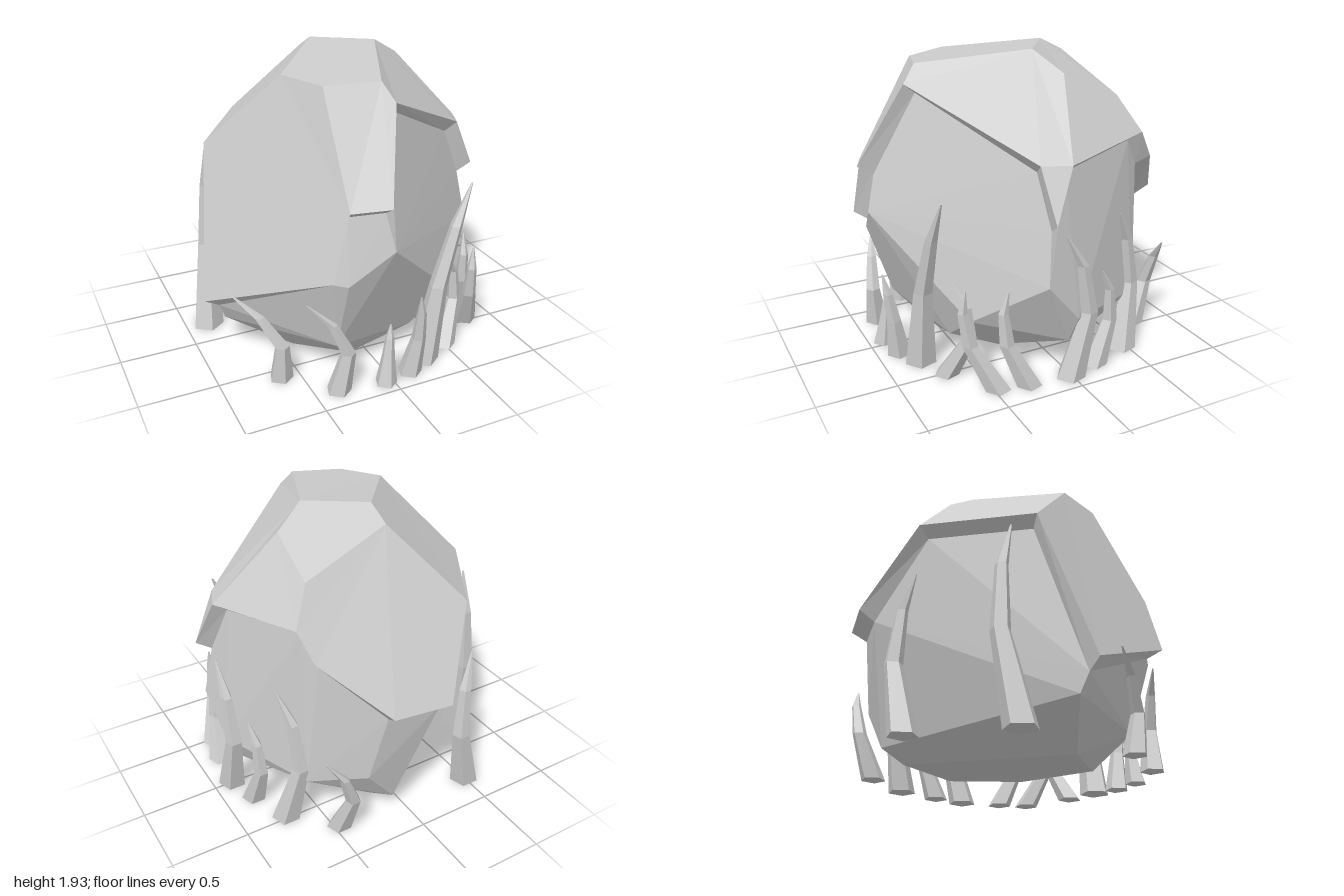
import * as THREE from 'three';
import { ConvexGeometry } from 'three/addons/geometries/ConvexGeometry.js';

const material = new THREE.MeshStandardMaterial({ color: 0xcccccc, flatShading: true, side: THREE.DoubleSide });

// Corners of the cap
const corners = {
  topLeft: [-0.455, 1.85, 0.27], topBack: [-0.045, 1.93, -0.25], topRight: [0.3, 1.93, -0.01],
  topFront: [0.01, 1.85, 0.64], topFrontL: [-0.315, 1.835, 0.55], backUp: [-0.045, 1.85, -0.41],
  rightUp: [0.51, 1.81, -0.11], rightBack: [0.53, 1.65, -0.475],
};
// Its rim, in order around the rock
const rimCorners = {
  sideL: [-0.835, 1.37, -0.1], tipL: [-0.975, 0.43, 0.2], frontLow: [-0.43, 0.8, 0.945],
  frontMid: [-0.315, 1.2, 0.915], frontTip: [-0.09, 1.22, 1], frontNotch: [0.06, 1.74, 0.73],
  rightFront: [0.82, 1.37, 0.21], tipR: [0.97, 1.05, 0.18], sideR: [0.89, 1.37, 0.04],
  backR: [0.655, 1.43, -0.59], backR2: [0.6, 1.25, -0.7], backTipR: [0.235, 0.9, -0.97],
  backTipL: [-0.16, 0.88, -1], backL: [-0.44, 1.38, -0.72],
};
const rim = Object.keys(rimCorners);
const faces = [
  'topLeft topFrontL topFront topRight topBack',
  'topLeft topBack backUp backL sideL',
  'backUp rightBack backR backR2 backTipR backTipL backL',
  'topBack topRight rightUp rightBack backUp',
  'rightUp sideR backR rightBack',
  'topRight topFront frontNotch rightFront sideR rightUp',
  'topFront topFrontL frontMid frontTip frontNotch',
  'topLeft topFrontL frontMid frontLow tipL sideL',
  'sideR tipR rightFront',
].map((names) => names.split(' '));

const vec = (name) => new THREE.Vector3(...(corners[name] ?? rimCorners[name]));
// Where the underside of the rim meets the rock
const lip = (name) => vec(name).multiply(new THREE.Vector3(0.9, 1, 0.9)).add(new THREE.Vector3(0, -0.06, 0));

// Flat polygons as outward-facing triangle fans
function polygons(list) {
  const points = [];
  const centre = new THREE.Vector3(0, 1, 0);
  for (const [a, ...rest] of list) {
    for (let i = 0; i < rest.length - 1; i++) {
      const [b, c] = [rest[i], rest[i + 1]];
      const normal = b.clone().sub(a).cross(c.clone().sub(a));
      const outward = normal.dot(a.clone().sub(centre)) > 0;
      points.push(a, ...(outward ? [b, c] : [c, b]));
    }
  }
  const geometry = new THREE.BufferGeometry().setFromPoints(points);
  geometry.computeVertexNormals();
  return geometry;
}

// Five-sided tapering blade from ground to tip, its knee pushed sideways around the rock by bend
function blade(baseX, baseZ, tipX, tipY, tipZ, bend) {
  const base = new THREE.Vector3(baseX, 0, baseZ);
  const tip = new THREE.Vector3(tipX, tipY, tipZ);
  const sideways = new THREE.Vector3(baseZ, 0, -baseX).normalize();
  const width = 0.055 + 0.04 * tipY;
  const rings = [[0, 0, 1], [0.45, 1, 0.6], [0.78, 0.75, 0.4], [1, 0, 0.06]].map(([t, push, taper]) => ({
    centre: base.clone().lerp(tip, t).addScaledVector(sideways, bend * push),
    radius: width * taper,
  }));
  const geometry = new THREE.CylinderGeometry(1, 1, 1, 5, 3);
  const pos = geometry.attributes.position;
  for (let i = 0; i < pos.count; i++) {
    const { centre, radius } = rings[Math.round((pos.getY(i) + 0.5) * 3)];
    pos.setXYZ(i, centre.x + pos.getX(i) * radius, centre.y, centre.z + pos.getZ(i) * radius);
  }
  geometry.computeVertexNormals();
  return geometry;
}

export function createModel() {
  const group = new THREE.Group();
  const add = (geometry, name, parent = group) => {
    const mesh = new THREE.Mesh(geometry, material);
    mesh.name = name;
    parent.add(mesh);
  };

  // Upper shell with its overhanging rim
  const rimFaces = rim.map((name, i) => {
    const next = rim[(i + 1) % rim.length];
    return [vec(name), vec(next), lip(next), lip(name)];
  });
  add(polygons([...faces.map((names) => names.map(vec)), ...rimFaces]), 'cap');

  // Rock body below the cap
  const body = [
    [-0.04, 0.93, 0.96], [-0.31, 0.73, 0.9], [-0.31, 0.24, 0.74], [-0.83, 0.25, 0.14],
    [0.93, 0.66, 0.2], [0.58, 0.36, 0.55], [0.9, 0.4, -0.02], [0.82, 0.22, 0], [0.45, 0.08, 0.3],
    [0.3, 0.15, 0.57], [-0.13, 0.03, 0.55], [-0.43, 0.03, 0.3], [0.08, 0.1, -0.76],
    [0.15, 0.03, -0.6], [0.42, 0.03, -0.22], [0.62, 0.23, -0.34], [0.62, 0.34, -0.6], [0.3, 0.38, -0.81],
  ].map((p) => new THREE.Vector3(...p));
  add(new ConvexGeometry([...body, ...rim.map(lip)]), 'rock');

  // Grass blades around the foot: base x, z, then tip x, y, z, then bend
  const grass = new THREE.Group();
  grass.name = 'grass';
  group.add(grass);
  const blades = [
    [0.29, 0.77, 0.61, 1.16, 0.73, -0.06],
    [-0.62, 0.58, -0.87, 0.56, 0.4, 0.16],
    [-0.35, 0.85, -0.53, 0.61, 0.8, 0.14],
    [-0.05, 0.9, -0.01, 0.39, 0.87, 0],
    [0.14, 0.86, 0.15, 0.58, 0.95, 0.03],
    [0.5, 0.68, 0.53, 0.62, 0.64, 0.14],
    [0.8, 0.47, 0.72, 0.65, 0.64, -0.08],
    [0.84, 0.28, 0.8, 0.63, 0.4, -0.08],
    [0.87, 0.01, 0.89, 0.95, 0.07, 0.14],
    [0.81, -0.2, 0.83, 0.64, -0.23, 0.1],
    [0.71, -0.47, 0.72, 0.95, -0.41, 0.14],
    [0.46, -0.72, 0.61, 0.63, -0.83, 0.12],
    [-0.5, -0.77, -0.5, 1, -0.74, -0.12],
    [-0.85, -0.22, -0.79, 1.28, -0.25, -0.09],
  ];
  for (const values of blades) add(blade(...values), 'blade', grass);

  return group;
}
